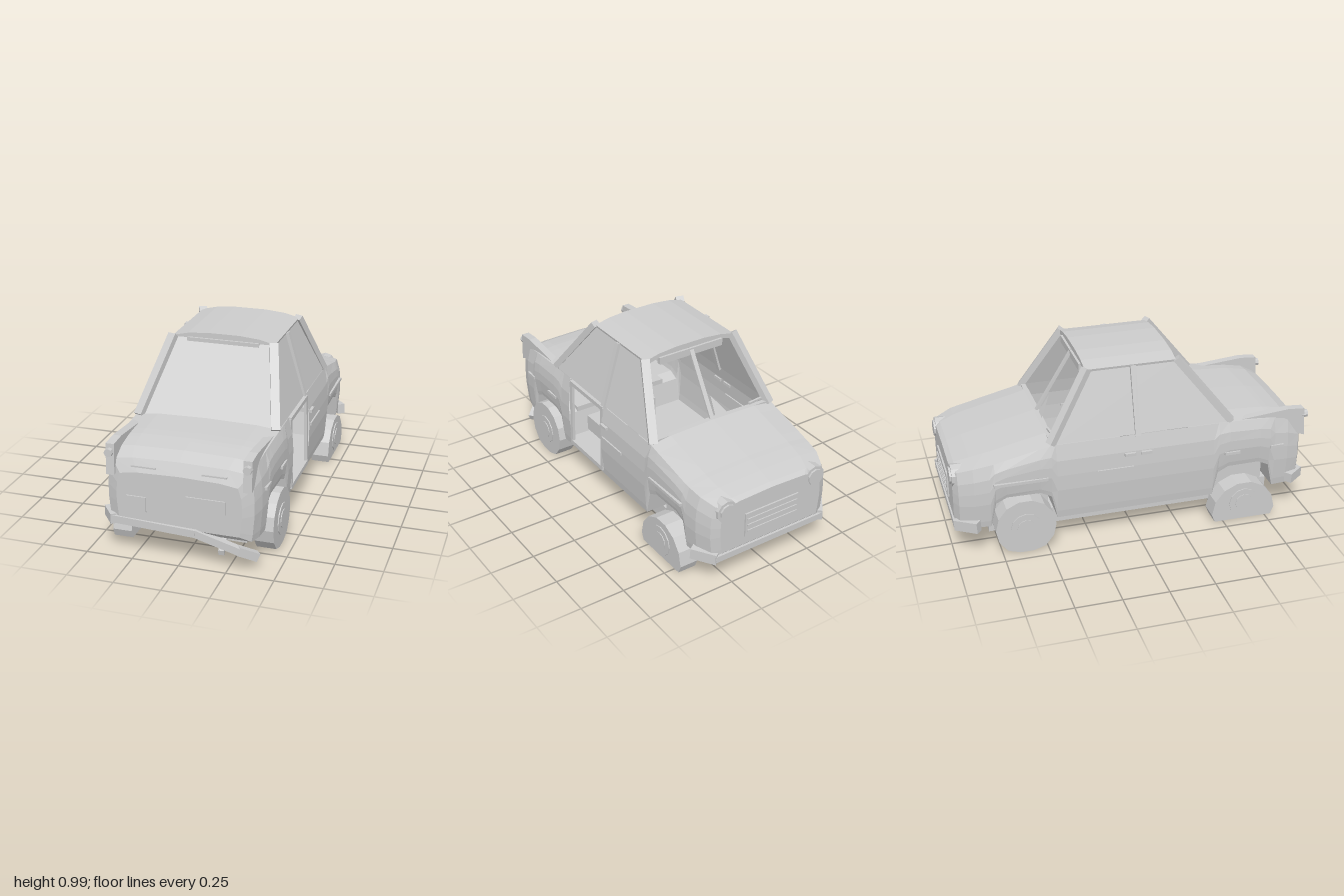
import * as THREE from 'three';

const grey = new THREE.MeshStandardMaterial({ color: 0xcccccc, flatShading: true, side: THREE.DoubleSide });
grey.name = 'weatheredGrey';

export function createModel() {
  const car = new THREE.Group();
  car.name = 'wreckedCar';

  const add = (name, geo, x = 0, y = 0, z = 0) => {
    const m = new THREE.Mesh(geo, grey);
    m.name = name;
    m.position.set(x, y, z);
    car.add(m);
    return m;
  };
  const box = (name, w, h, d, x, y, z) => add(name, new THREE.BoxGeometry(w, h, d), x, y, z);
  // square bar between two points
  const bar = (name, a, b, w, h = w) => {
    const p = new THREE.Vector3(...a), q = new THREE.Vector3(...b);
    const m = add(name, new THREE.BoxGeometry(w, h, p.distanceTo(q)));
    m.position.copy(p).add(q).multiplyScalar(0.5);
    m.lookAt(q);
    return m;
  };
  const surface = (name, points, index) => {
    const g = new THREE.BufferGeometry();
    g.setAttribute('position', new THREE.Float32BufferAttribute(points.flat(), 3));
    g.setIndex(index);
    g.computeVertexNormals();
    return add(name, g);
  };
  const panel = (name, ...p) => surface(name, p, p.length === 3 ? [0, 1, 2] : [0, 1, 2, 0, 2, 3]);
  const rod = (name, r, len, sides, x, y, z) => {
    const g = new THREE.CylinderGeometry(r, r, len, sides);
    g.rotateX(Math.PI / 2);
    return add(name, g, x, y, z);
  };

  // body shell: z, half width, edge height, centre height, lower edge (rises over the wheels)
  const stations = [
    [-0.985, 0.32, 0.465, 0.49, 0.2], [-0.96, 0.365, 0.485, 0.505, 0.17], [-0.88, 0.4, 0.51, 0.53, 0.165],
    [-0.8, 0.41, 0.525, 0.55, 0.165], [-0.77, 0.412, 0.53, 0.555, 0.3], [-0.71, 0.414, 0.545, 0.57, 0.33],
    [-0.53, 0.418, 0.585, 0.61, 0.33], [-0.47, 0.42, 0.6, 0.625, 0.3], [-0.44, 0.42, 0.6, 0.625, 0.165],
    [-0.2, 0.42, 0.6, 0.62, 0.165], [0, 0.42, 0.6, 0.62, 0.165], [0.35, 0.42, 0.6, 0.62, 0.165],
    [0.44, 0.42, 0.6, 0.62, 0.165], [0.47, 0.42, 0.6, 0.62, 0.3], [0.53, 0.42, 0.6, 0.62, 0.33],
    [0.71, 0.416, 0.59, 0.61, 0.33], [0.77, 0.414, 0.585, 0.605, 0.3], [0.8, 0.412, 0.58, 0.6, 0.165],
    [0.88, 0.405, 0.565, 0.585, 0.165], [0.95, 0.385, 0.53, 0.55, 0.17], [0.98, 0.33, 0.465, 0.485, 0.2],
  ];
  const sideRows = [[0.96, 0], [0.975, 0.1], [1, 0.4], [1, 0.6], [0.985, 0.8], [0.935, 1]];
  const points = [], index = [], N = 18;
  for (const [z, w, edge, top, low] of stations) {
    const half = [[0, low], [Math.min(0.3, w * 0.9), low]];
    for (const [s, t] of sideRows) half.push([w * s, low + (edge - low) * t]);
    half.push([w * 0.65, edge + (top - edge) * 0.7], [0, top]);
    const ring = [...half, ...half.slice(1, 9).reverse().map(([x, y]) => [-x, y])];
    for (const [x, y] of ring) points.push([x, y, z]);
  }
  for (let i = 0; i < stations.length - 1; i++) {
    const z = stations[i][0];
    for (let j = 0; j < N; j++) {
      if (z === 0 && j >= 3 && j <= 6) continue;                      // missing door
      if (z > -0.45 && z < 0.52 && j >= 7 && j <= 10) continue;       // open cabin top
      const a = i * N + j, b = i * N + (j + 1) % N;
      index.push(a, b, a + N, b, b + N, a + N);
    }
  }
  const last = (stations.length - 1) * N;
  for (let j = 1; j < N - 1; j++) index.push(0, j + 1, j, last, last + j, last + j + 1);
  surface('bodyShell', points, index);

  // chassis and wheel wells
  box('chassis', 0.6, 0.09, 1.6, 0, 0.12, 0);
  for (const z of [-0.62, 0.62]) box('wheelWell', 0.6, 0.2, 0.3, 0, 0.23, z);

  // seat inside the open doorway
  box('seatBase', 0.28, 0.09, 0.22, 0.19, 0.325, 0.19);
  box('seatBack', 0.05, 0.21, 0.22, 0.03, 0.385, 0.19);
  for (const z of [0.008, 0.342]) bar('doorFrame', [0.408, 0.2, z], [0.398, 0.59, z], 0.025, 0.016);
  bar('doorFrameTop', [0.395, 0.588, 0], [0.395, 0.588, 0.35], 0.025);
  bar('doorSill', [0.405, 0.2, 0], [0.405, 0.2, 0.35], 0.025);

  // arched roof
  const roof = new THREE.Shape();
  [[-0.28, 0.935], [-0.285, 0.96], [-0.2, 0.98], [-0.09, 0.99], [0.09, 0.99], [0.2, 0.98], [0.285, 0.96], [0.28, 0.935],
    [0.2, 0.955], [-0.2, 0.955]].forEach(([x, y], i) => (i ? roof.lineTo(x, y) : roof.moveTo(x, y)));
  add('roof', new THREE.ExtrudeGeometry(roof, { depth: 0.5, bevelEnabled: false }), 0, 0, -0.25);
  for (const s of [-1, 1]) {
    bar('roofLip', [-0.2, 0.94, s * 0.25], [0.2, 0.94, s * 0.25], 0.025, 0.04);
  }

  // windows, pillars and side details, mirrored
  for (const s of [-1, 1]) {
    bar('frontPillar', [s * 0.378, 0.6, -0.465], [s * 0.28, 0.965, -0.24], 0.046, 0.035);
    bar('rearPillar', [s * 0.375, 0.6, 0.545], [s * 0.28, 0.965, 0.255], 0.046, 0.035);
    bar('middlePillar', [s * 0.39, 0.59, 0.01], [s * 0.286, 0.955, 0.01], 0.03, 0.025);
    panel('sideWindow', [s * 0.388, 0.6, -0.45], [s * 0.388, 0.6, 0.53], [s * 0.28, 0.955, 0.25], [s * 0.28, 0.955, -0.24]);
    for (const [a, b] of [[0.85, 0.77], [0.59, 0.5], [-0.02, -0.22], [-0.49, -0.78]]) {
      const x = s * (a > 0.8 ? 0.412 : 0.42);
      box('sideTrim', 0.016, 0.016, a - b, x, 0.42, (a + b) / 2);
    }
    box('doorHandle', 0.025, 0.016, 0.06, s * 0.418, 0.5, -0.04);
    if (s < 0) box('doorHandle', 0.025, 0.016, 0.06, s * 0.418, 0.5, 0.05);

    // tapered tail fin and lamp
    const fin = new THREE.Shape();
    [[0.58, 0.595], [0.88, 0.622], [0.975, 0.615], [0.985, 0.45], [0.9, 0.48]]
      .forEach(([z, y], i) => (i ? fin.lineTo(-z, y) : fin.moveTo(-z, y)));
    const finGeo = new THREE.ExtrudeGeometry(fin, { depth: 0.045, bevelEnabled: false });
    finGeo.translate(0, 0, -0.0225);
    finGeo.rotateY(Math.PI / 2);
    add('tailFin', finGeo, s * 0.358, 0, 0);
    rod('tailLamp', 0.022, 0.035, 8, s * 0.36, 0.573, 0.983);
    box('tailTrim', 0.13, 0.008, 0.02, s * 0.185, 0.508, 0.965);

    // headlamps
    rod('headlampRim', 0.062, 0.08, 10, s * 0.28, 0.445, -0.945);
    rod('headlampLens', 0.046, 0.015, 10, s * 0.28, 0.445, -0.988);

    // front bumper ends
    bar('frontBumperEnd', [s * 0.33, 0.175, -0.98], [s * 0.415, 0.185, -0.87], 0.045, 0.06);
  }
  panel('rearWindow', [-0.36, 0.605, 0.53], [0.36, 0.605, 0.53], [0.265, 0.955, 0.25], [-0.265, 0.955, 0.25]);

  // empty windscreen with its middle bar, a shard and a wiper
  bar('windscreenBar', [0, 0.615, -0.46], [0, 0.96, -0.25], 0.025, 0.012);
  panel('glassShard', [-0.11, 0.62, -0.45], [-0.03, 0.62, -0.45], [-0.035, 0.72, -0.39]);
  bar('windscreenSill', [-0.37, 0.605, -0.455], [0.37, 0.605, -0.455], 0.025);
  bar('wiper', [-0.34, 0.63, -0.44], [-0.25, 0.63, -0.45], 0.012);

  // nose grille
  box('grillePanel', 0.34, 0.14, 0.012, 0, 0.32, -0.988);
  for (const y of [0.285, 0.32, 0.355]) box('grilleSlat', 0.32, 0.01, 0.012, 0, y, -0.994);
  bar('frontBumper', [-0.35, 0.175, -0.97], [0.35, 0.175, -0.97], 0.045, 0.035);

  // tail plates
  box('numberPlate', 0.205, 0.07, 0.008, 0.143, 0.35, 0.983);
  box('tailPatch', 0.105, 0.085, 0.008, -0.225, 0.307, 0.983);

  // torn rear bumper and loose pipe
  bar('rearBumper', [-0.36, 0.205, 0.97], [0.09, 0.19, 0.98], 0.035, 0.04);
  bar('rearBumperBent', [0.08, 0.192, 0.98], [0.31, 0.115, 0.96], 0.035, 0.04);
  bar('rearBumperTip', [0.3, 0.12, 0.965], [0.385, 0.065, 0.9], 0.04, 0.045);
  bar('rearBumperEnd', [-0.345, 0.205, 0.98], [-0.415, 0.205, 0.89], 0.045, 0.055);
  bar('loosePipe', [0.18, 0.11, 0.78], [0.205, 0.07, 0.93], 0.03);

  // wheels: two still round, two flat and sunken
  for (const s of [-1, 1]) for (const z of [-0.62, 0.62]) {
    const flat = s * z < 0;
    const cy = flat ? 0.045 : 0.15, r = flat ? 0.185 : 0.165;
    const g = new THREE.CylinderGeometry(r, r, 0.105, 14);
    g.rotateZ(Math.PI / 2);
    g.translate(0, cy, 0);
    const p = g.attributes.position;
    for (let i = 0; i < p.count; i++) p.setY(i, Math.max(0, p.getY(i)));
    add('tyre', g, s * 0.383, 0, z);
    for (const [hr, x] of [[0.085, 0.437], [0.05, 0.441]]) {
      const hub = new THREE.CylinderGeometry(hr, hr, 0.008, 12);
      hub.rotateZ(Math.PI / 2);
      add('hubcap', hub, s * x, flat ? 0.105 : cy, z);
    }
    bar('axle', [0, 0.13, z], [s * 0.35, 0.13, z], 0.03);
  }
  return car;
}
